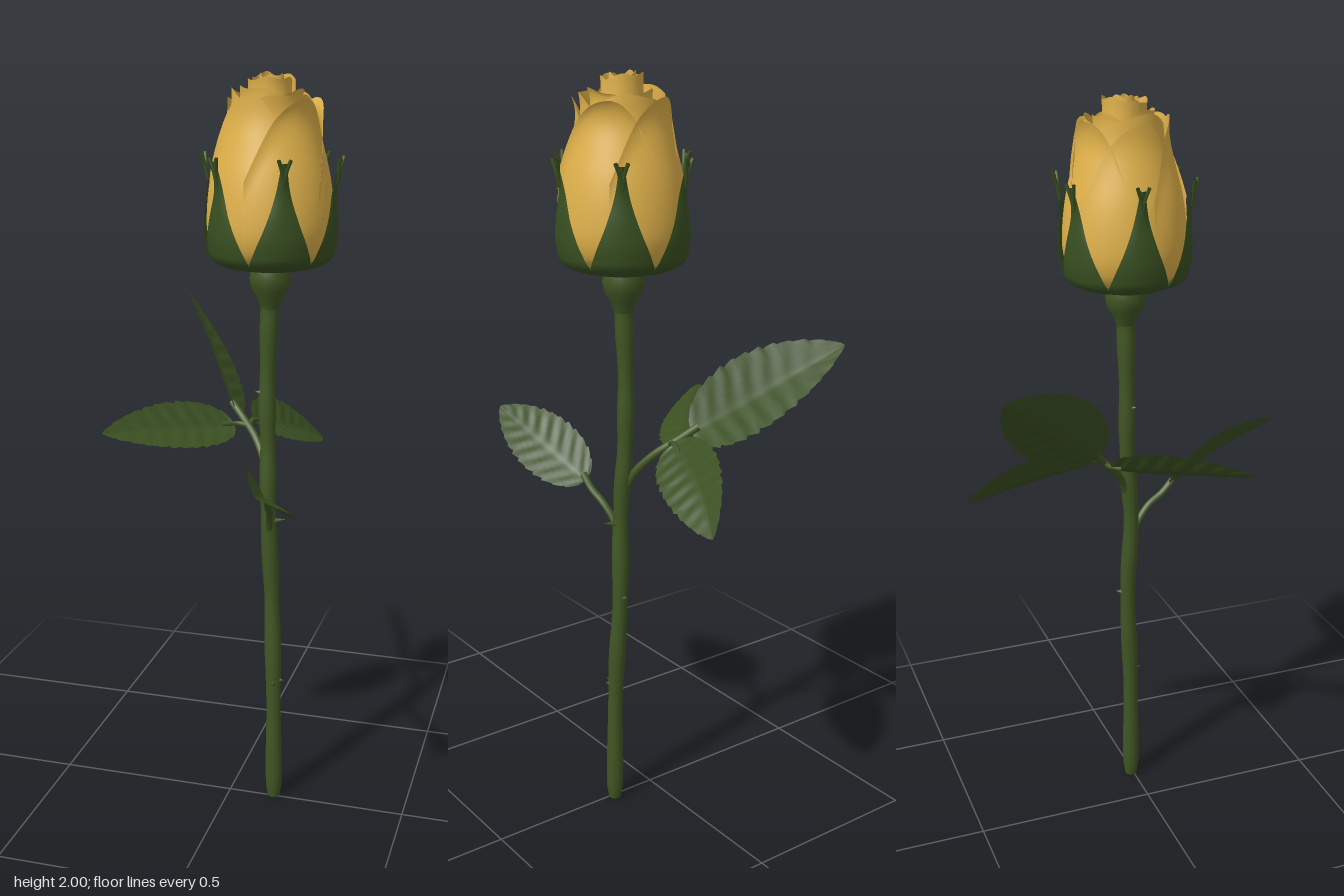
import * as THREE from 'three';

const mat = (name, color, side = THREE.FrontSide) =>
  Object.assign(new THREE.MeshStandardMaterial({ color, side }), { name });
const V = (x, y, z) => new THREE.Vector3(x, y, z);
const CX = 0.1, CZ = -0.024; // flower axis

// Grid surface from fn(u, v) -> Vector3, with u and v in 0..1
function surface(nu, nv, fn) {
  const pos = [], idx = [];
  for (let j = 0; j <= nv; j++) for (let i = 0; i <= nu; i++) pos.push(...fn(i / nu, j / nv).toArray());
  for (let j = 0; j < nv; j++) for (let i = 0; i < nu; i++) {
    const a = j * (nu + 1) + i, b = a + 1, c = a + nu + 1, d = c + 1;
    idx.push(a, c, b, b, c, d);
  }
  const g = new THREE.BufferGeometry();
  g.setAttribute('position', new THREE.Float32BufferAttribute(pos, 3));
  g.setIndex(idx);
  g.computeVertexNormals();
  return g;
}

// Serrated leaf blade from base to tip, folded at the midrib, arched and swayed along its length
function leafGeometry(base, tip, up, width, arch, sway) {
  const axis = tip.clone().sub(base), dir = axis.clone().normalize();
  const side = V(0, 0, 0).crossVectors(up, dir).normalize();
  const n = V(0, 0, 0).crossVectors(dir, side).normalize();
  return surface(12, 72, (u, v) => {
    const s = 2 * u - 1, e = Math.abs(s);
    const shape = Math.pow(v, 0.5) * Math.pow(1 - v, 0.8) / 0.419;
    const tooth = 1 + (0.09 + 0.04 * Math.sin(v * 23 + s)) * ((v * 12) % 1 - 0.5) * e ** 4;
    const w = 0.5 * width * shape * tooth;
    const ripple = 0.002 * Math.sin((v - 0.12 * e) * 50) * Math.sin(Math.PI * e) * shape;
    const bow = Math.sin(Math.PI * v);
    const lift = arch * bow + 0.25 * (e - 0.5) * w + ripple;
    return base.clone().addScaledVector(axis, v).addScaledVector(side, s * w + sway * bow).addScaledVector(n, lift);
  });
}

// Bud outline, bottom to top: radius, height
const budCurve = new THREE.CatmullRomCurve3([
  V(0.06, 1.53, 0), V(0.132, 1.55, 0), V(0.155, 1.6, 0), V(0.157, 1.67, 0),
  V(0.147, 1.75, 0), V(0.13, 1.82, 0), V(0.113, 1.89, 0), V(0.104, 1.95, 0)]);

// One wrapped petal: k scales its radius, drop lowers its sides, curl rolls the lip outward
function petalGeometry({ angle, span, k, lift, drop, curl, from = 0 }) {
  return surface(28, 24, (u, v) => {
    const s = 2 * u - 1, e = Math.abs(s);
    const end = 1 - drop * e ** 2.2;
    const p = budCurve.getPoint(from + (end - from) * v);
    const lip = Math.max(0, (v - 0.8) / 0.2) ** 2;
    const r = p.x * k + 0.006 * s + curl * lip * (1 - 0.6 * e);
    const a = angle + s * span / 2;
    const y = p.y + lift * v * v - 0.5 * Math.abs(curl) * lip * lip + 0.004 * Math.sin(5 * a) * lip;
    return V(CX + r * Math.cos(a), y, CZ + r * Math.sin(a));
  });
}

// Sepal outline, base to tip: radius, height, half angle
const sepalCurve = new THREE.CatmullRomCurve3([
  V(0.035, 1.525, 0.54), V(0.1, 1.52, 0.54), V(0.147, 1.538, 0.53), V(0.166, 1.58, 0.42),
  V(0.171, 1.65, 0.24), V(0.169, 1.72, 0.11), V(0.175, 1.765, 0.06), V(0.184, 1.795, 0.04)]);

export function createModel() {
  const model = new THREE.Group();
  model.name = 'rose';
  const petalMat = mat('petal yellow', 0xe2b34b, THREE.DoubleSide);
  const stemMat = mat('stem green', 0x405623);
  const leafMat = mat('leaf green', 0x3b5022, THREE.DoubleSide);
  const sepalMat = mat('sepal green', 0x3a5121, THREE.DoubleSide);
  const add = (name, geometry, material, parent = model) => {
    const m = new THREE.Mesh(geometry, material);
    m.name = name;
    parent.add(m);
    return m;
  };
  const group = (name) => {
    const g = new THREE.Group();
    g.name = name;
    model.add(g);
    return g;
  };

  // Stem: gently bent, with a slight uneven thickness
  const stemPath = new THREE.CatmullRomCurve3([
    V(0.128, 0, -0.006), V(0.123, 0.35, -0.008), V(0.113, 0.62, -0.018), V(0.104, 0.85, -0.01),
    V(0.098, 1.03, -0.022), V(0.094, 1.2, -0.024), V(0.098, 1.38, -0.024), V(0.1, 1.47, CZ)]);
  add('stem', surface(14, 70, (u, v) => {
    const p = stemPath.getPoint(v), a = u * Math.PI * 2;
    const r = v === 0 ? 0.017 : 0.022 + 0.0015 * Math.sin(v * 40) + 0.008 * Math.max(0, v - 0.8) / 0.2;
    return p.add(V(r * Math.cos(a), 0, r * Math.sin(a)));
  }), stemMat);
  const cap = add('stemEnd', new THREE.CircleGeometry(0.0175, 14), stemMat);
  cap.rotation.x = Math.PI / 2;
  cap.position.copy(stemPath.getPoint(0));

  // Swelling under the flower
  const hip = [[0.024, 1.41], [0.034, 1.44], [0.05, 1.465], [0.054, 1.49], [0.05, 1.51], [0.046, 1.53]];
  add('receptacle', new THREE.LatheGeometry(hip.map(([r, y]) => new THREE.Vector2(r, y)), 24), stemMat)
    .position.set(CX, 0, CZ);

  // Thorns: place along the stem, compass angle and length
  const thorns = group('thorns');
  for (const [t, a, len] of [[0.415, 0.1, 0.035], [0.286, -1.5, 0.018], [0.145, 1.4, 0.02], [0.147, 0.2, 0.014], [0.7, 2.6, 0.016]]) {
    const d = V(Math.cos(a), 0.25, Math.sin(a)).normalize();
    const c = add('thorn', new THREE.ConeGeometry(0.008, len, 6), stemMat, thorns);
    c.position.copy(stemPath.getPoint(t)).addScaledVector(d, 0.018 + len / 2);
    c.quaternion.setFromUnitVectors(V(0, 1, 0), d);
  }

  // Leaf stalks
  const stalks = group('leafStalks');
  const stalk = (r, ...pts) =>
    add('leafStalk', new THREE.TubeGeometry(new THREE.CatmullRomCurve3(pts), 16, r, 8), stemMat, stalks);
  stalk(0.01, V(0.106, 0.78, -0.01), V(0.112, 0.84, 0.015), V(0.122, 0.88, 0.05), V(0.128, 0.905, 0.09), V(0.132, 0.94, 0.125));
  stalk(0.011, V(0.1, 0.92, -0.018), V(0.084, 0.98, -0.045), V(0.045, 1.04, -0.09), V(0, 1.08, -0.13), V(-0.04, 1.115, -0.16));
  stalk(0.007, V(0.02, 1.065, -0.11), V(-0.01, 1.068, -0.115), V(-0.05, 1.07, -0.09));
  stalk(0.007, V(0.02, 1.065, -0.11), V(0.025, 1.075, -0.14), V(0.04, 1.06, -0.18));

  // Leaves: base, tip, upward normal, width, arch, sway
  const leaves = group('leaves');
  [
    ['frontLeaf', V(0.132, 0.925, 0.11), V(0.19, 1.06, 0.462), V(0.66, 0.7, -0.37), 0.17, 0.02, 0],
    ['sideLeaf', V(-0.02, 1.065, -0.11), V(-0.293, 1.1, 0.188), V(0.5, 0.74, 0.36), 0.155, 0.008, 0],
    ['backLeaf', V(0.025, 1.075, -0.14), V(0.153, 0.945, -0.462), V(0.65, 0.7, -0.044), 0.17, 0.012, 0.012],
    ['upperLeaf', V(-0.025, 1.1, -0.145), V(-0.258, 1.36, -0.457), V(0.85, 0.46, -0.24), 0.215, 0.014, 0],
  ].forEach(([name, ...p]) => add(name, leafGeometry(...p), leafMat, leaves));

  // Flower: solid heart wrapped in layers of petals
  const flower = group('flower');
  const heart = budCurve.getPoints(16).filter((p) => p.y < 1.87).map((p) => new THREE.Vector2(p.x * 0.84, p.y));
  heart.push(new THREE.Vector2(0.05, 1.91), new THREE.Vector2(0, 1.92));
  add('budHeart', new THREE.LatheGeometry(heart, 32), petalMat, flower).position.set(CX, 0, CZ);
  const layers = [
    { name: 'outerPetal', count: 5, span: 2.2, k: 1.0, lift: 0.0, drop: 0.42, curl: 0.016, start: 0.65 },
    { name: 'middlePetal', count: 3, span: 2.7, k: 0.91, lift: 0.01, drop: 0.14, curl: 0.012, start: 0.9 },
    { name: 'innerPetal', count: 3, span: 2.6, k: 0.7, lift: 0.016, drop: 0.06, curl: 0.01, start: 0.2, from: 0.6 },
    { name: 'heartPetal', count: 2, span: 3.7, k: 0.5, lift: 0.042, drop: 0.03, curl: 0.004, start: 1.3, from: 0.7 },
    { name: 'corePetal', count: 2, span: 3.6, k: 0.32, lift: 0.046, drop: 0.03, curl: -0.002, start: 0.5, from: 0.75 },
    { name: 'tipPetal', count: 1, span: 6, k: 0.17, lift: 0.04, drop: 0.02, curl: -0.002, start: 1.8, from: 0.8 },
  ];
  for (const L of layers) for (let i = 0; i < L.count; i++) {
    const g = petalGeometry({ ...L, angle: L.start + i * Math.PI * 2 / L.count,
      lift: L.lift + 0.006 * Math.sin(i * 2.3), curl: L.curl * (1 + 0.6 * Math.cos((i - 4) * 1.26)) });
    add(L.name, g, petalMat, flower);
  }

  // Six sepals joined into a cup, each with a forked tip
  const calyx = group('calyx');
  for (let i = 0; i < 6; i++) {
    const angle = 0.1 + i * Math.PI / 3;
    const at = (r, y, a) => V(CX + r * Math.cos(angle + a), y, CZ + r * Math.sin(angle + a));
    add('sepal', surface(10, 30, (u, v) => {
      const p = sepalCurve.getPoint(v), s = 2 * u - 1;
      return at(p.x + 0.004 * (1 - s * s), p.y, s * p.z);
    }), sepalMat, calyx);
    for (const s of [-1, 1]) {
      const fork = new THREE.CatmullRomCurve3([at(0.173, 1.735, 0), at(0.18, 1.775, s * 0.03), at(0.187, 1.803, s * 0.08)]);
      add('sepalTip', new THREE.TubeGeometry(fork, 6, 0.005, 6), sepalMat, calyx);
    }
  }
  return model;
}
